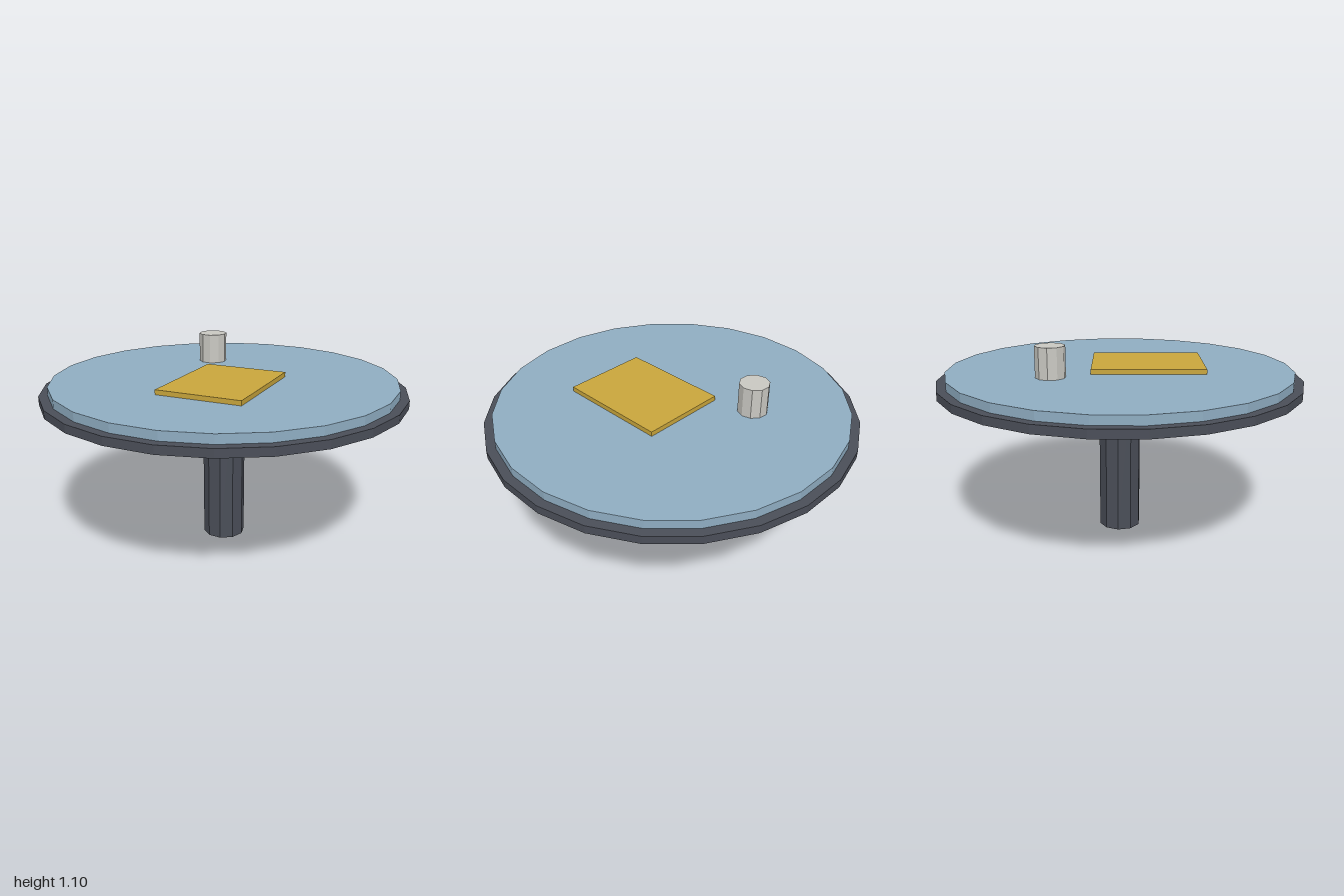
import * as THREE from 'three';

export function createModel() {
  const group = new THREE.Group();

  const material = (name, color) => {
    const m = new THREE.MeshStandardMaterial({ color, flatShading: true });
    m.name = name;
    return m;
  };
  const darkGrey = material('dark grey', 0x4a4e58);
  const paleBlue = material('pale blue', 0x8fadc2);
  const ochre = material('ochre', 0xc9a63c);
  const offWhite = material('off white', 0xc9c8c2);

  // Places a part with its underside at height y
  const add = (name, geometry, mat, height, x, y, z) => {
    const mesh = new THREE.Mesh(geometry, mat);
    mesh.name = name;
    mesh.position.set(x, y + height / 2, z);
    group.add(mesh);
    return mesh;
  };
  const drum = (name, mat, radius, sides, y0, y1, x = 0, z = 0) =>
    add(name, new THREE.CylinderGeometry(radius, radius, y1 - y0, sides), mat, y1 - y0, x, y0, z);

  // Table: pedestal, rim and inset top
  drum('pedestal', darkGrey, 0.118, 10, 0, 0.84);
  drum('tableRim', darkGrey, 1, 24, 0.84, 0.885);
  drum('tableTop', paleBlue, 0.951, 24, 0.885, 0.933);

  // Items on the table
  drum('cup', offWhite, 0.081, 10, 0.933, 1.1, -0.36, -0.24);
  const menu = add('menu', new THREE.BoxGeometry(0.475, 0.026, 0.618), ochre, 0.026, 0.12, 0.933, 0.117);
  menu.rotation.y = 0.4;

  return group;
}
